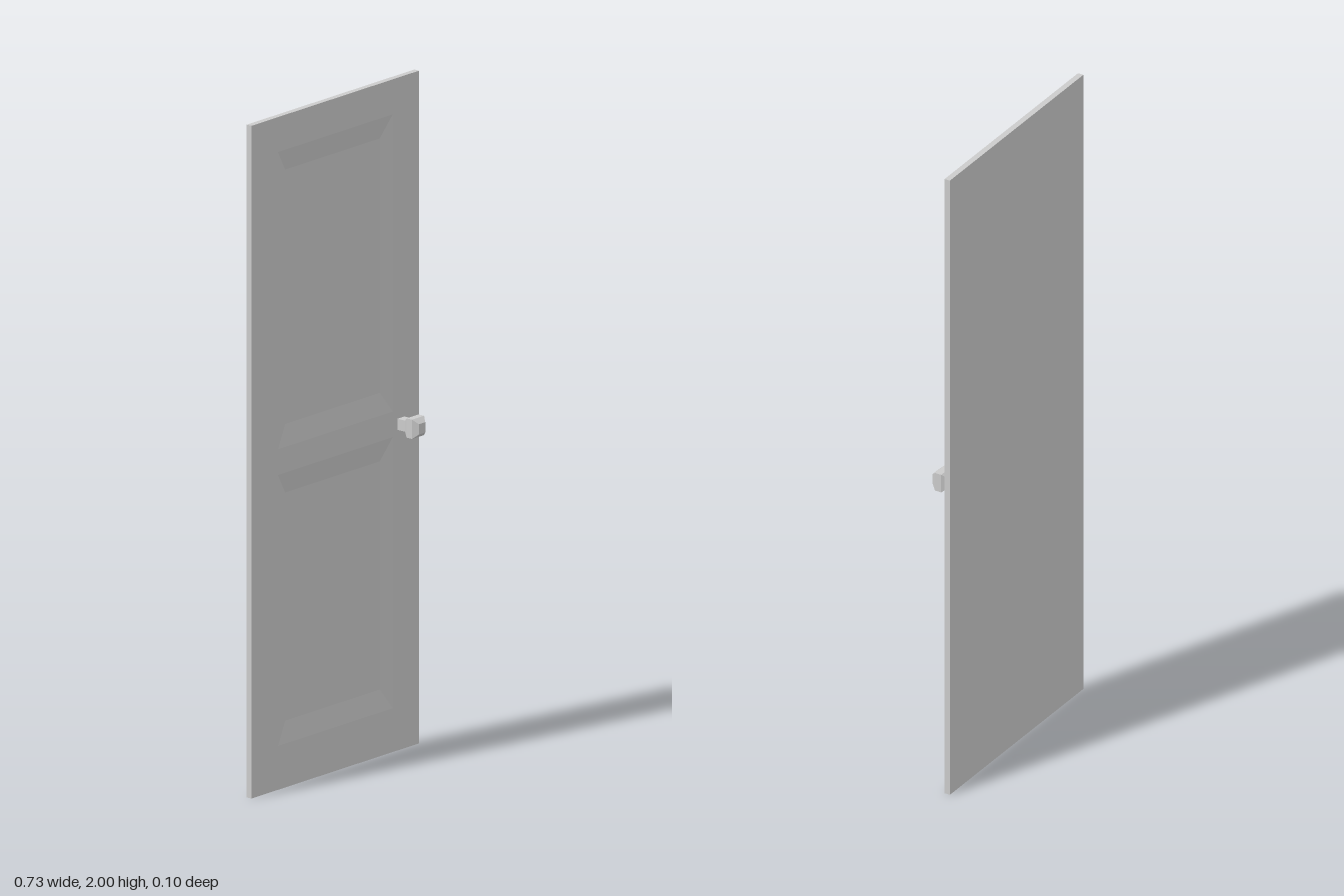
import * as THREE from 'three';

const W = 0.73, H = 2, BACK = -0.05, FRONT = -0.032, RECESS = 0.011;
const BEVEL_X = 0.044, BEVEL_Y = 0.064, PANEL_X = 0.25;
const PANELS = [
  { name: 'lowerPanel', y0: 0.13, y1: 0.936 },
  { name: 'upperPanel', y0: 1.012, y1: 1.896 },
];

const material = new THREE.MeshStandardMaterial({ color: 0xcccccc, flatShading: true });

function addMesh(parent, geometry, name) {
  const mesh = new THREE.Mesh(geometry, material);
  mesh.name = name;
  parent.add(mesh);
  return mesh;
}

// Corners of a rectangle, counter-clockwise seen from the front
const rect = (x, y0, y1) => [[-x, y0], [x, y0], [x, y1], [-x, y1]];

// Recessed panel: four sloping sides down to a flat floor
function panelGeometry({ y0, y1 }) {
  const outer = rect(PANEL_X, y0, y1).map(([x, y]) => [x, y, FRONT]);
  const inner = rect(PANEL_X - BEVEL_X, y0 + BEVEL_Y, y1 - BEVEL_Y)
    .map(([x, y]) => [x, y, FRONT - RECESS]);
  const index = [4, 5, 6, 4, 6, 7];
  for (let i = 0; i < 4; i++) {
    const j = (i + 1) % 4;
    index.push(i, j, 4 + j, i, 4 + j, 4 + i);
  }
  const geometry = new THREE.BufferGeometry();
  geometry.setAttribute('position', new THREE.Float32BufferAttribute([...outer, ...inner].flat(), 3));
  geometry.setIndex(index);
  const flat = geometry.toNonIndexed();
  flat.computeVertexNormals();
  return flat;
}

export function createModel() {
  const model = new THREE.Group();
  model.name = 'panelDoor';

  // Slab back and edges: a box without its front face
  const slab = new THREE.BoxGeometry(W, H, FRONT - BACK);
  const kept = Array.from(slab.index.array).filter((_, i) => i < 24 || i >= 30);
  slab.setIndex(kept);
  slab.clearGroups();
  addMesh(model, slab, 'doorSlab').position.set(0, H / 2, (FRONT + BACK) / 2);

  // Front frame with openings for the panels
  const toPoints = (corners) => corners.map(([x, y]) => new THREE.Vector2(x, y));
  const frame = new THREE.Shape(toPoints(rect(W / 2, 0, H)));
  for (const p of PANELS) {
    frame.holes.push(new THREE.Path(toPoints(rect(PANEL_X, p.y0, p.y1).reverse())));
  }
  addMesh(model, new THREE.ShapeGeometry(frame), 'doorFrame').position.z = FRONT;

  for (const p of PANELS) addMesh(model, panelGeometry(p), p.name);

  // Square-sectioned knob: [half width, z] from stem to tip
  const profile = [
    [0.015, FRONT], [0.015, -0.003], [0.026, 0.012],
    [0.026, 0.033], [0.014, 0.048], [0, 0.048],
  ].map(([r, z]) => new THREE.Vector2(r * Math.SQRT2, z));
  const knob = new THREE.LatheGeometry(profile, 4, Math.PI / 4);
  knob.rotateX(Math.PI / 2);
  knob.scale(1, 1.1, 1);
  addMesh(model, knob, 'doorKnob').position.set(0.285, 0.97, 0);

  return model;
}
